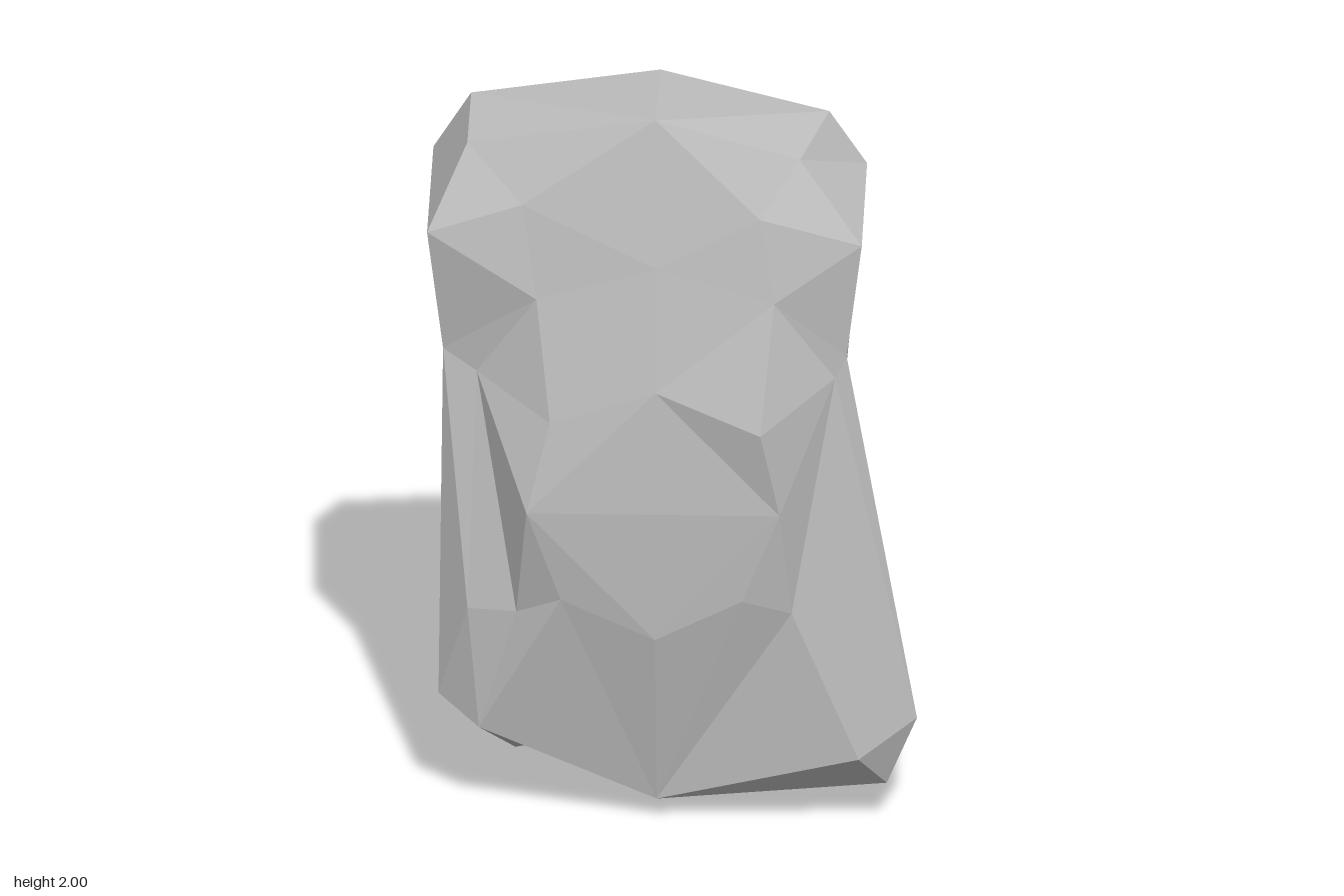
import * as THREE from 'three';

// Triangles between two polylines, always closing the shorter diagonal;
// a polyline of one point gives a fan
function strip(out, upper, lower) {
  const U = upper.map(p => new THREE.Vector3(...p));
  const L = lower.map(p => new THREE.Vector3(...p));
  let i = 0, j = 0;
  while (i < U.length - 1 || j < L.length - 1) {
    const canU = i < U.length - 1, canL = j < L.length - 1;
    const stepU = canU && (!canL || U[i + 1].distanceTo(L[j]) <= U[i].distanceTo(L[j + 1]));
    const [a, b, c] = [U[i], L[j], stepU ? U[++i] : L[++j]];
    if (a.distanceTo(b) && b.distanceTo(c) && a.distanceTo(c)) [a, b, c].forEach(v => out.push(v.x, v.y, v.z));
  }
}

function shellMesh(name, pairs, material) {
  const out = [];
  pairs.forEach(([u, l]) => strip(out, u, l));
  const geometry = new THREE.BufferGeometry();
  geometry.setAttribute('position', new THREE.Float32BufferAttribute(out, 3));
  geometry.computeVertexNormals();
  const mesh = new THREE.Mesh(geometry, material);
  mesh.name = name;
  return mesh;
}

export function createModel() {
  const stone = new THREE.MeshStandardMaterial({ color: 0xb8b8b8 });
  stone.name = 'stone grey';
  stone.flatShading = true;
  stone.side = THREE.DoubleSide;

  // Outline of the front face
  const browL = [-0.55, 1.89, -0.01], peak = [-0.05, 1.97, 0], notch = [0.23, 1.72, 0.075];
  const cornerL = [-0.65, 1.69, 0.13], cornerR = [0.5, 1.65, 0.075];
  const sideL = [-0.61, 1.33, 0.08], sideR = [0.46, 1.33, 0.08];
  const lowL = [-0.62, 0.34, 0.12], lowR = [0.65, 0.31, 0.15];
  const jawL = [-0.51, 0.27, 0.18], jawR = [0.5, 0.23, 0.25], chin = [-0.04, 0.06, 0.155];

  // Cross rows of the faceted front, top to bottom, each running -x to +x
  const upper = [cornerL, [-0.4, 1.75, 0.075], notch, cornerR];
  const chest = [sideL, [-0.36, 1.5, 0.13], [-0.04, 1.59, 0.12], [0.27, 1.5, 0.13], sideR];
  const armL = [-0.52, 1.27, 0.09], armR = [0.43, 1.27, 0.09];
  const middle = [armL, [-0.32, 1.18, 0.22], [-0.04, 1.27, 0.21], [0.24, 1.17, 0.255], armR];
  const ridge = [[-0.38, 0.94, 0.27], [0.29, 0.93, 0.235]];
  const flankL = [-0.54, 0.62, 0.185], creaseL = [-0.41, 0.62, 0.2], creaseR = [0.32, 0.63, 0.2];
  const belly = [creaseL, [-0.29, 0.68, 0.25], [-0.04, 0.57, 0.255], [0.19, 0.68, 0.24], creaseR];

  // Open back rim
  const topLeft = [-0.55, 1.94, -0.215], topMid = [-0.05, 2, -0.255], topRight = [0.4, 1.91, -0.21];
  const shoulderL = [-0.65, 1.78, -0.215], shoulderR = [0.5, 1.76, -0.21];
  const waistL = [-0.51, 1.09, -0.21], waistR = [0.44, 1.11, -0.21];
  const hemL = [-0.61, 0.2, -0.19], hemR = [0.6, 0.16, -0.255];
  const footL = [-0.43, 0.05, -0.17], footR = [0.41, 0, -0.27], footMid = [0.05, 0.12, -0.27];

  // Extra corners between the front and the walls
  const bevel = [0.33, 1.84, -0.05], heel = [0.57, 0.12, 0.154];

  const model = new THREE.Group();
  model.name = 'rockSlab';
  model.add(
    shellMesh('frontFace', [
      [[browL, peak], upper.slice(0, 3)],
      [upper, chest],
      [chest, [sideL, ...middle, sideR]],
      [middle, ridge],
      [ridge, belly],
      [belly.slice(1), [chin]],
    ], stone),
    shellMesh('leftFlank', [
      [[armL], [creaseL, ridge[0]]],
      [[sideL, armL], [flankL, creaseL]],
      [[flankL], [sideL, lowL, jawL]],
      [[flankL, creaseL, belly[1]], [jawL, chin]],
    ], stone),
    shellMesh('rightFlank', [
      [[armR], [ridge[1], creaseR, jawR]],
      [[armR, sideR], [jawR, lowR]],
      [[creaseR], [chin, jawR]],
    ], stone),
    shellMesh('leftWall', [[[hemL, waistL, shoulderL, topLeft], [lowL, sideL, cornerL, browL]]], stone),
    shellMesh('topWall', [
      [[topLeft, topMid], [browL, peak]],
      [[topMid, topRight], [peak]],
      [[bevel], [peak, notch, cornerR, shoulderR, topRight, peak]],
    ], stone),
    shellMesh('rightWall', [[[shoulderR, waistR, hemR], [cornerR, sideR, lowR]]], stone),
    shellMesh('underside', [
      [[lowR, jawR, chin], [lowR, heel, chin]],
      [[hemR, footR], [lowR, heel]],
      [[footR, footMid], [heel]],
      [[footMid], [heel, chin, jawL]],
      [[footMid, footL], [jawL]],
      [[footL, hemL], [jawL, lowL]],
    ], stone),
  );
  return model;
}
